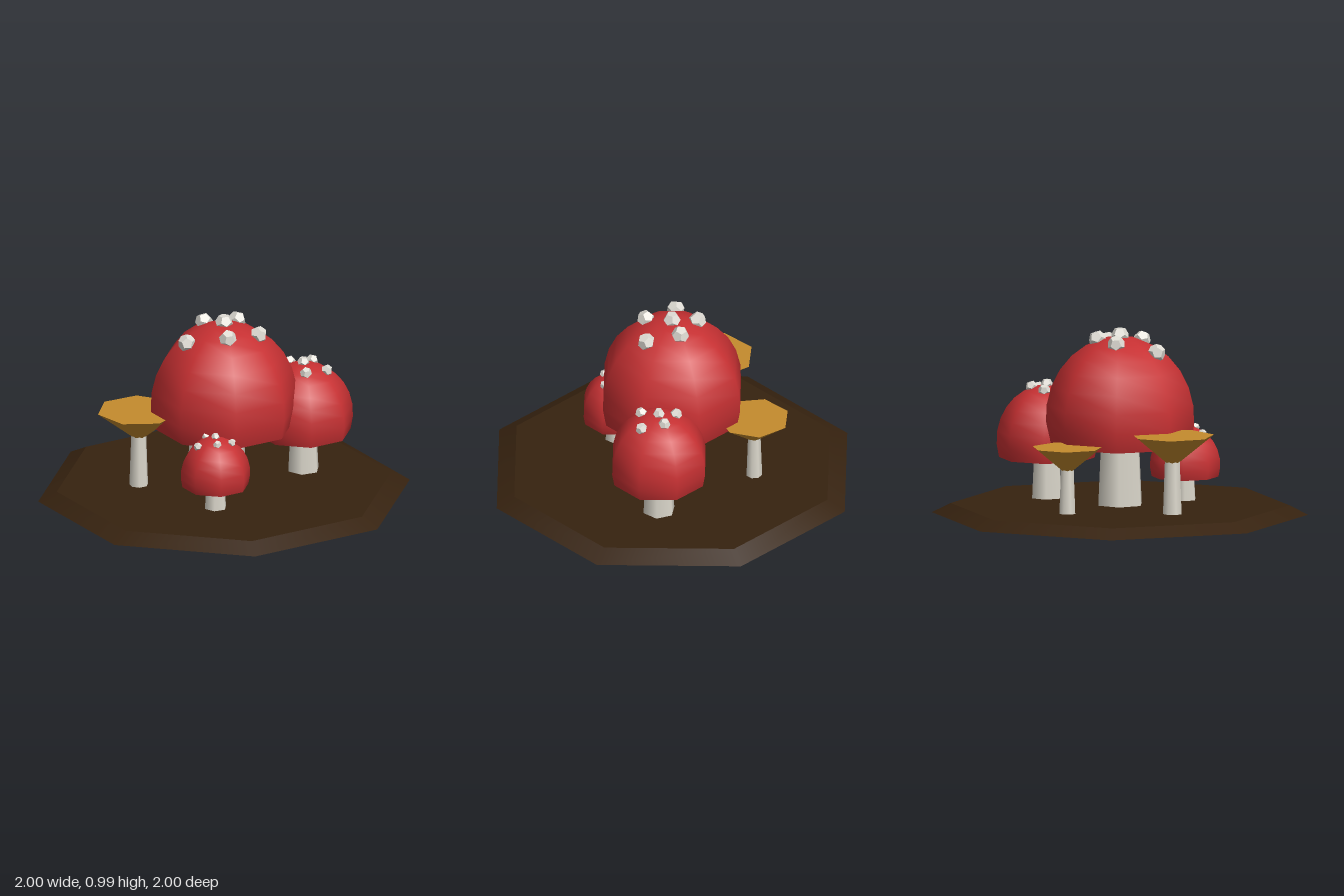
import * as THREE from 'three';

const mat = (name, color, extra = {}) => {
  const m = new THREE.MeshStandardMaterial({ color, ...extra });
  m.name = name;
  return m;
};

export function createModel() {
  const soil = mat('soil brown', 0x36220f);
  const red = mat('cap red', 0xc63032);
  const cream = mat('stem cream', 0xdcd8cc);
  const spotWhite = mat('spot white', 0xdedbd3, { flatShading: true });
  const gold = mat('funnel gold', 0xc48b2d);

  const root = new THREE.Group();
  root.name = 'mushroomPatch';
  const GROUND = 0.05;

  const add = (parent, name, geometry, material, x = 0, y = 0, z = 0) => {
    const mesh = new THREE.Mesh(geometry, material);
    mesh.name = name;
    mesh.position.set(x, y, z);
    parent.add(mesh);
    return mesh;
  };

  // Octagonal ground slab with a bevelled rim
  add(root, 'ground', new THREE.CylinderGeometry(0.9, 1, GROUND, 8), soil, 0, GROUND / 2, 0);

  // Spot positions on a cap of full size, as x and z
  const spots = [[0, 0], [0.12, 0], [0.013, -0.14], [-0.2, -0.1], [-0.112, 0.105], [0.07, 0.175]];
  const R = 0.395, RY = 0.44, SWEEP = 0.6 * Math.PI;
  const up = new THREE.Vector3(0, 1, 0);

  // Spotted mushroom: s is the cap scale, stemH the height of the cap's rim above ground
  function redMushroom(name, x, z, s, stemH) {
    const g = new THREE.Group();
    g.name = name;
    g.position.set(x, GROUND, z);
    root.add(g);

    add(g, 'stem', new THREE.CylinderGeometry(0.114 * s, 0.13 * s, stemH, 6), cream, 0, stemH / 2, 0);
    // Collar where the stem meets the cap
    add(g, 'collar', new THREE.CylinderGeometry(0.132 * s, 0.115 * s, 0.03 * s, 6), cream, 0, stemH - 0.004 * s, 0);

    // Domed cap, tucked in slightly at the rim
    const centreY = stemH - Math.cos(SWEEP) * RY * s;
    const dome = new THREE.SphereGeometry(R * s, 8, 8, 0, Math.PI * 2, 0, SWEEP);
    dome.scale(1, RY / R, 1);
    add(g, 'cap', dome, red, 0, centreY, 0);
    const under = new THREE.CircleGeometry(R * s * Math.sin(SWEEP), 8);
    under.rotateX(Math.PI / 2);
    add(g, 'capUnderside', under, red, 0, stemH, 0);

    // Dodecahedral spots, each with one face turned outwards
    for (const [sx, sz] of spots) {
      const sy = RY * Math.sqrt(1 - (sx * sx + sz * sz) / (R * R));
      const geo = new THREE.DodecahedronGeometry(0.048 * s);
      geo.rotateX(-0.5536);
      const spot = add(g, 'spot', geo, spotWhite, sx * s, centreY + (sy + 0.004) * s, sz * s);
      const normal = new THREE.Vector3(sx / (R * R), sy / (RY * RY), sz / (R * R)).normalize();
      spot.quaternion.setFromUnitVectors(up, normal);
    }
  }
  redMushroom('largeMushroom', 0, 0, 1, 0.325);
  redMushroom('mediumMushroom', 0.4, 0.232, 0.677, 0.215);
  redMushroom('smallMushroom', -0.337, 0.185, 0.473, 0.125);

  // Funnel mushroom: an upturned seven-sided cone on a slim stem
  function funnelMushroom(name, x, z, r, topY) {
    const g = new THREE.Group();
    g.name = name;
    g.position.set(x, 0, z);
    root.add(g);
    const h = r * 0.77;
    const stemTop = topY - h * 0.75;
    add(g, 'stem', new THREE.CylinderGeometry(r * 0.18, r * 0.226, stemTop - GROUND, 7), cream,
      0, (stemTop + GROUND) / 2, 0);
    const cone = new THREE.ConeGeometry(r, h, 7);
    cone.rotateX(Math.PI);
    add(g, 'funnelCap', cone, gold, 0, topY - h / 2, 0);
  }
  funnelMushroom('rightFunnel', -0.295, -0.345, 0.225, 0.47);
  funnelMushroom('leftFunnel', 0.262, -0.365, 0.192, 0.405);

  return root;
}
